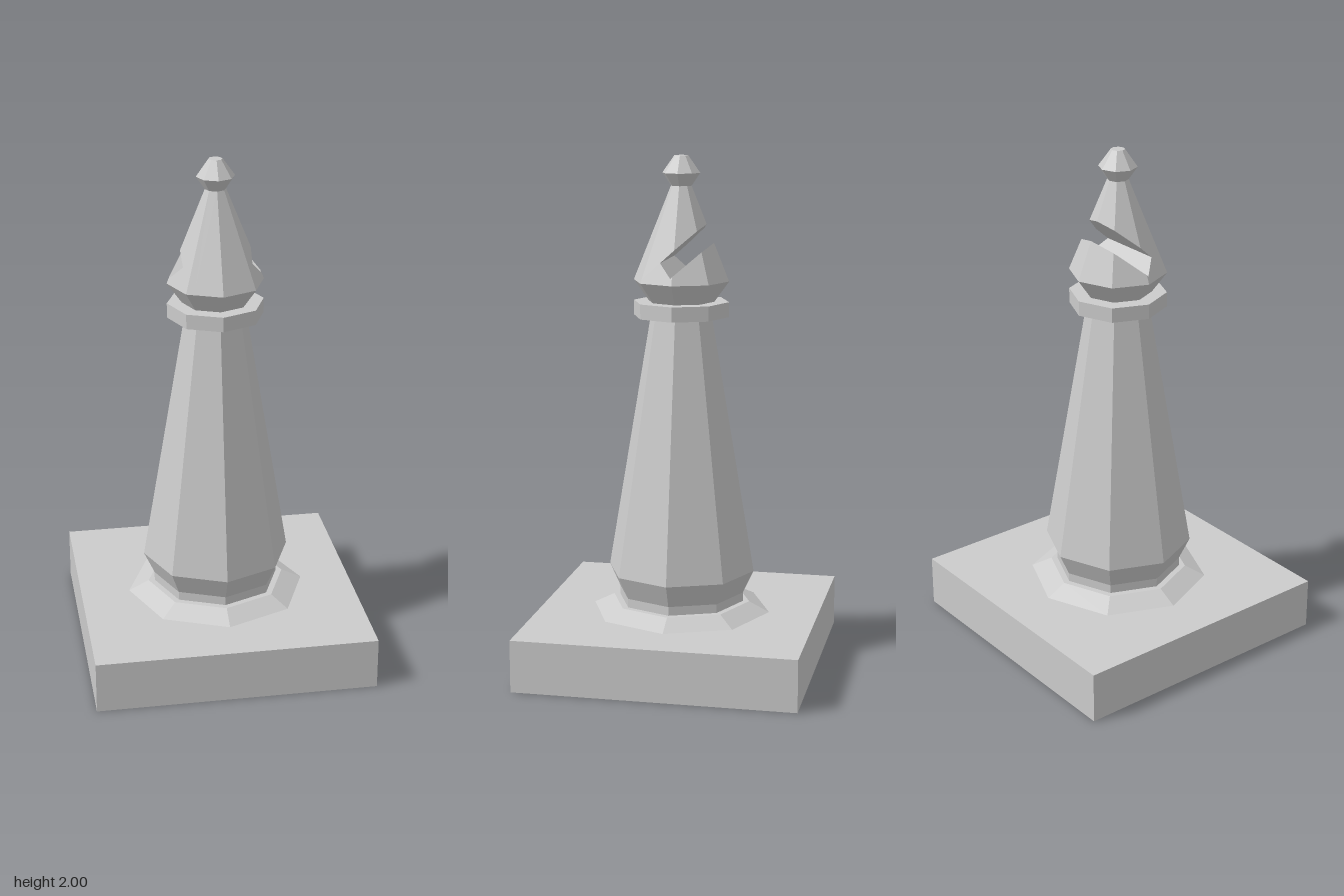
import * as THREE from 'three';

const SIDES = 8;
const material = new THREE.MeshStandardMaterial({ color: 0xcccccc, flatShading: true });

function addMesh(parent, name, geometry) {
  const mesh = new THREE.Mesh(geometry, material);
  mesh.name = name;
  parent.add(mesh);
  return mesh;
}

// Eight-sided turned part from [radius, height] pairs, bottom to top
const turned = (profile) =>
  new THREE.LatheGeometry(profile.map(([r, y]) => new THREE.Vector2(r, y)), SIDES);

// Closed convex eight-sided solid as a list of outward-facing polygons
function turnedPolygons(profile) {
  const rings = profile.map(([r, y]) =>
    Array.from({ length: SIDES }, (_, i) => {
      const a = (i / SIDES) * Math.PI * 2;
      return new THREE.Vector3(Math.sin(a) * r, y, Math.cos(a) * r);
    }));
  const faces = [[...rings[0]].reverse(), rings[rings.length - 1]];
  for (let k = 0; k < rings.length - 1; k++) {
    for (let i = 0; i < SIDES; i++) {
      const j = (i + 1) % SIDES;
      faces.push([rings[k][i], rings[k][j], rings[k + 1][j], rings[k + 1][i]]);
    }
  }
  return faces;
}

// Keep the part of a convex solid where normal . p <= limit, and cap the cut
function clip(faces, normal, limit) {
  const cut = [];
  const kept = [];
  for (const face of faces) {
    const out = [];
    face.forEach((p, i) => {
      const q = face[(i + 1) % face.length];
      const dp = normal.dot(p) - limit;
      const dq = normal.dot(q) - limit;
      if (dp <= 0) out.push(p);
      if (dp * dq < 0) {
        const hit = p.clone().lerp(q, dp / (dp - dq));
        out.push(hit);
        if (!cut.some((c) => c.distanceTo(hit) < 1e-6)) cut.push(hit);
      }
    });
    if (out.length > 2) kept.push(out);
  }
  if (cut.length > 2) {
    // Cut planes all contain the x direction, so x and normal-cross-x span the cap
    const centre = cut.reduce((s, p) => s.add(p), new THREE.Vector3()).divideScalar(cut.length);
    const u = new THREE.Vector3(1, 0, 0);
    const v = normal.clone().cross(u);
    const angle = (p) => {
      const d = p.clone().sub(centre);
      return Math.atan2(d.dot(v), d.dot(u));
    };
    kept.push(cut.sort((a, b) => angle(a) - angle(b)));
  }
  return kept;
}

// Fan-triangulate convex polygons
function polygonGeometry(faces) {
  const points = [];
  for (const f of faces) {
    for (let i = 1; i < f.length - 1; i++) points.push(f[0], f[i], f[i + 1]);
  }
  const geometry = new THREE.BufferGeometry().setFromPoints(points);
  geometry.computeVertexNormals();
  return geometry;
}

export function createModel() {
  const model = new THREE.Group();
  model.name = 'chessBishop';

  // Square plinth
  const plinth = addMesh(model, 'plinth', new THREE.BoxGeometry(1.1, 0.205, 1.1));
  plinth.position.y = 0.1025;

  // Sloped skirt where the body meets the plinth
  addMesh(model, 'skirt', turned([[0.357, 0.204], [0.275, 0.245], [0, 0.245]]));

  // Foot and tapering shaft
  addMesh(model, 'shaft', turned([[0.25, 0.24], [0.25, 0.28], [0.292, 0.371], [0.118, 1.4]]));

  // Collar ring
  addMesh(model, 'collar', turned([[0, 1.382], [0.188, 1.382], [0.188, 1.44], [0, 1.44]]));

  // Mitre head with a slanted slot, open at the back and on both sides
  const mitre = turnedPolygons([[0.13, 1.44], [0.188, 1.52], [0.04, 1.886]]);
  const across = new THREE.Vector3(0, 0.745, 0.667);
  const along = new THREE.Vector3(0, 0.667, -0.745);
  const [low, high, end] = [1.157, 1.229, 1.026];
  const up = across.clone().negate();
  const head = new THREE.Group();
  head.name = 'head';
  model.add(head);
  addMesh(head, 'headBelowSlot', polygonGeometry(clip(mitre, across, low)));
  addMesh(head, 'headAboveSlot', polygonGeometry(clip(mitre, up, -high)));
  addMesh(head, 'headSlotEnd',
    polygonGeometry(clip(clip(clip(mitre, across, high), up, -low), along, end)));

  // Finial
  addMesh(model, 'finial', turned([[0.04, 1.884], [0.074, 1.934], [0.027, 2], [0, 2]]));

  return model;
}
